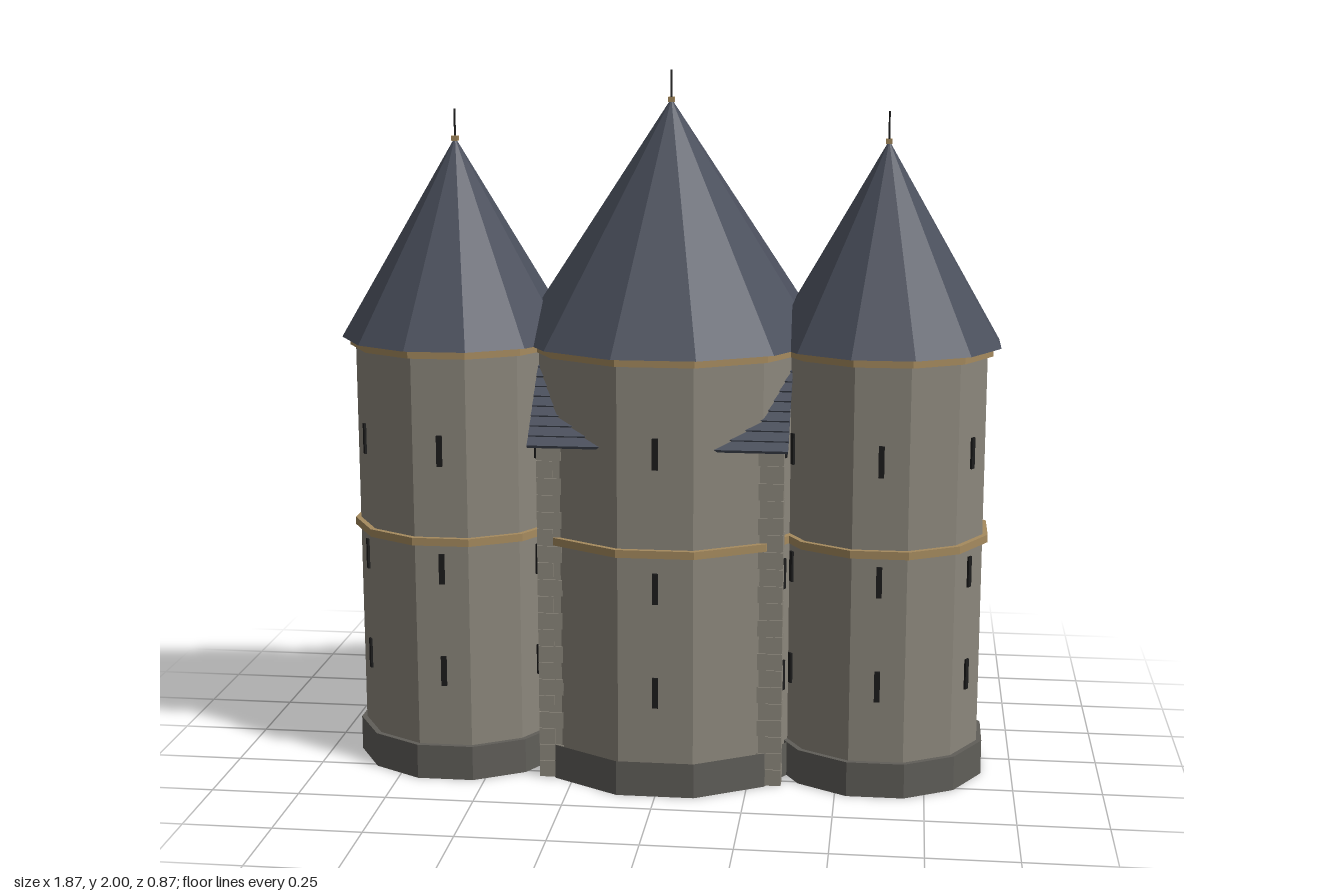
import * as THREE from 'three';

const SIDES = 12;
const mat = (color, extra = {}) => {
  const m = new THREE.MeshStandardMaterial({ color, flatShading: true, ...extra });
  return m;
};

export function createModel() {
  const castle = new THREE.Group();
  castle.name = 'castle';
  const stone = mat(0x8c877c, { side: THREE.DoubleSide });
  const darkStone = mat(0x605e59, { side: THREE.DoubleSide });
  const slate = mat(0x4a4f5c);
  const trim = mat(0xa58a5e);
  const wood = mat(0x4f3d2c);
  const dark = mat(0x1c1c1c);

  const add = (parent, name, geo, material, x = 0, y = 0, z = 0) => {
    const mesh = new THREE.Mesh(geo, material);
    mesh.name = name;
    mesh.position.set(x, y, z);
    parent.add(mesh);
    return mesh;
  };
  const box = (w, h, d) => new THREE.BoxGeometry(w, h, d);

  // Twelve-sided prism or cone measured across its flats, one flat facing front
  const prism = (top, bottom, y0, y1, open = false) => {
    const k = 1 / Math.cos(Math.PI / SIDES);
    return new THREE.CylinderGeometry(top * k, bottom * k, y1 - y0, SIDES, 1, open)
      .rotateY(Math.PI / SIDES)
      .translate(0, (y0 + y1) / 2, 0);
  };

  function tower(name, { x, z, r, eave, apex, windows, open }) {
    const g = new THREE.Group();
    g.name = name;
    g.position.set(x, 0, z);
    add(g, 'wall', prism(r, r, 0.01, 1.24, open), stone);
    add(g, 'plinth', prism(r + 0.015, r + 0.015, 0, 0.1, open), darkStone);
    add(g, 'middleBand', prism(r + 0.015, r + 0.015, 0.69, 0.712), trim);
    add(g, 'eaveBand', prism(r + 0.015, r + 0.015, 1.222, 1.245), trim);
    add(g, 'roof', prism(0, eave, 1.245, apex), slate);
    add(g, 'finialBase', box(0.018, 0.014, 0.018), trim, 0, apex - 0.003, 0);
    add(g, 'finialRod', new THREE.CylinderGeometry(0.003, 0.003, 0.08, 6), dark, 0, apex + 0.04, 0);

    // Arrow slits on every second face
    for (const y of windows) {
      for (let i = 0; i < 6; i++) {
        const a = (i * Math.PI) / 3;
        const slit = add(g, 'arrowSlit', box(0.016, 0.088, 0.012), dark, Math.sin(a) * r, y, Math.cos(a) * r);
        slit.rotation.y = a;
      }
    }
    castle.add(g);
  }

  // Three towers
  tower('centreTower', { x: 0, z: 0, r: 0.393, eave: 0.433, apex: 1.92, windows: [0.98, 0.6, 0.3], open: true });
  for (const s of [-1, 1]) {
    tower(s > 0 ? 'leftTower' : 'rightTower', {
      x: s * 0.613, z: 0.043, r: 0.285, eave: 0.322, apex: 1.81, windows: [0.96, 0.62, 0.32],
    });
  }

  // Gabled block running through the centre tower
  const gable = new THREE.Shape([
    new THREE.Vector2(-0.292, 0.005), new THREE.Vector2(0.292, 0.005),
    new THREE.Vector2(0.292, 1.02), new THREE.Vector2(0.08, 1.23),
    new THREE.Vector2(-0.08, 1.23), new THREE.Vector2(-0.292, 1.02),
  ]);
  const core = new THREE.ExtrudeGeometry(gable, { depth: 0.684, bevelEnabled: false })
    .translate(0, 0, -0.342).rotateY(Math.PI / 2);
  add(castle, 'gabledBlock', core, stone);
  add(castle, 'blockFloor', box(0.66, 0.01, 0.56), dark, 0, 0.006, 0);

  // Quoins, eave beams and stepped slate courses on both slopes
  for (const sz of [-1, 1]) {
    for (const sx of [-1, 1]) {
      for (let i = 0; i < 20; i++) {
        const w = i % 2 ? 0.07 : 0.045;
        const d = i % 2 ? 0.035 : 0.055;
        add(castle, 'quoin', box(w, 0.047, d), stone,
          sx * (0.346 - w / 2), 0.026 + i * 0.049, sz * (0.296 - d / 2));
      }
    }
    add(castle, 'eaveBeam', box(0.7, 0.022, 0.07), trim, 0, 1.002, sz * 0.272);
    for (let i = 0; i < 12; i++) {
      const z = 0.343 - i * 0.0235;
      const course = add(castle, 'slateCourse', box(0.72, 0.01, 0.042), slate, 0, 0.998 + i * 0.0235, sz * z);
      course.rotation.x = sz * (Math.PI / 4 - 0.15);
    }
  }

  // Opened door leaves at the back
  for (const s of [-1, 1]) {
    const leaf = add(castle, 'doorLeaf', box(0.014, 0.445, 0.082), wood, s * 0.169, 0.232, -0.384);
    leaf.rotation.y = s * 0.08;
  }
  return castle;
}
